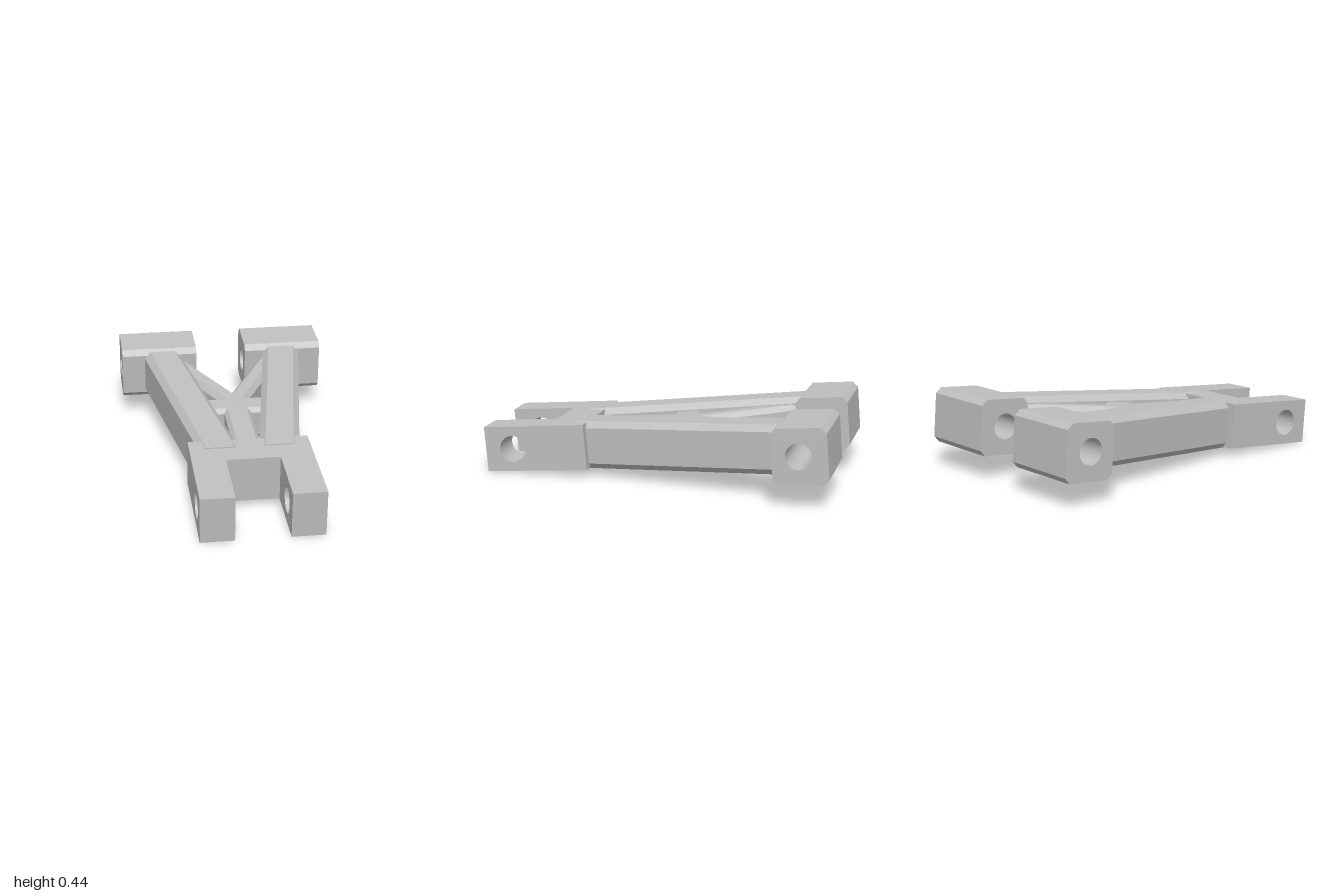
import * as THREE from 'three';
import { toCreasedNormals } from 'three/addons/utils/BufferGeometryUtils.js';

const TILT = 0.082;   // the whole arm rises towards the back
const MID = 0.212;    // height of the arm's mid-plane before tilting

// Rectangle outline with cut corners (c = 0 keeps them square)
function outline(x0, x1, y0, y1, c = 0) {
  const pts = c > 0
    ? [[x0 + c, y0], [x1 - c, y0], [x1, y0 + c], [x1, y1 - c], [x1 - c, y1], [x0 + c, y1], [x0, y1 - c], [x0, y0 + c]]
    : [[x0, y0], [x1, y0], [x1, y1], [x0, y1]];
  return new THREE.Shape(pts.map(([x, y]) => new THREE.Vector2(x, y)));
}

function extrude(shape, depth) {
  const geo = new THREE.ExtrudeGeometry(shape, { depth, bevelEnabled: false, curveSegments: 32 });
  return toCreasedNormals(geo, 0.4);
}

// Block with a side profile (z0..z1, y0..y1) and a round bore, running from x0 to x1
function boredBlock(x0, x1, z0, z1, y0, y1, chamfer, boreZ, radius) {
  const shape = outline(-z1, -z0, y0, y1, chamfer);
  if (radius) {
    const bore = new THREE.Path();
    bore.absarc(-boreZ, MID, radius, 0, Math.PI * 2, true);
    shape.holes.push(bore);
  }
  return extrude(shape, x1 - x0).rotateY(Math.PI / 2).translate(x0, 0, 0);
}

// Chamfered bar running along z, its centre slanting from xBack to xFront
function slantedBar(width, height, chamfer, zBack, xBack, zFront, xFront) {
  const shape = outline(-width / 2, width / 2, MID - height / 2, MID + height / 2, chamfer);
  const geo = new THREE.ExtrudeGeometry(shape, { depth: zFront - zBack, bevelEnabled: false });
  geo.translate(0, 0, zBack);
  const p = geo.attributes.position;
  for (let i = 0; i < p.count; i++) {
    const t = (p.getZ(i) - zBack) / (zFront - zBack);
    p.setX(i, p.getX(i) + xBack + (xFront - xBack) * t);
  }
  geo.computeVertexNormals();
  return geo;
}

export function createModel() {
  const model = new THREE.Group();
  model.name = 'controlArm';
  const arm = new THREE.Group();
  arm.name = 'tiltedArm';
  arm.rotation.x = TILT;
  arm.position.y = -0.004;
  model.add(arm);

  const metal = new THREE.MeshStandardMaterial({ color: 0xbfbfbf });
  metal.name = 'plain grey';
  const add = (name, geo) => {
    const mesh = new THREE.Mesh(geo, metal);
    mesh.name = name;
    arm.add(mesh);
  };

  // Front fork: two bored prongs joined by a bridge
  add('rightForkProng', boredBlock(-0.328, -0.147, 0.388, 0.976, 0.085, 0.341, 0, 0.815, 0.075));
  add('leftForkProng', boredBlock(0.144, 0.325, 0.388, 0.976, 0.085, 0.341, 0, 0.815, 0.075));
  add('forkBridge', boredBlock(-0.147, 0.144, 0.388, 0.599, 0.085, 0.341, 0));

  // Rear bushing blocks
  add('rightRearBlock', boredBlock(-0.605, -0.157, -1.01, -0.715, 0.057, 0.362, 0.031, -0.857, 0.07));
  add('leftRearBlock', boredBlock(0.14, 0.6, -1.01, -0.715, 0.057, 0.362, 0.031, -0.857, 0.07));

  // Main beams and the V of thinner braces between them
  for (const [side, s] of [['right', -1], ['left', 1]]) {
    add(side + 'Beam', slantedBar(0.22, 0.27, 0.034, -0.735, s * 0.363, 0.473, s * 0.157));
    add(side + 'Brace', slantedBar(0.13, 0.192, 0.03, -0.7, s * 0.29, -0.1, s * -0.02));
  }

  // Centre rib and cross rib
  add('centreRib', slantedBar(0.152, 0.19, 0.022, -0.1, 0, 0.42, 0));
  add('crossRib', boredBlock(-0.2, 0.2, -0.173, -0.015, MID - 0.094, MID + 0.094, 0.024));

  return model;
}
